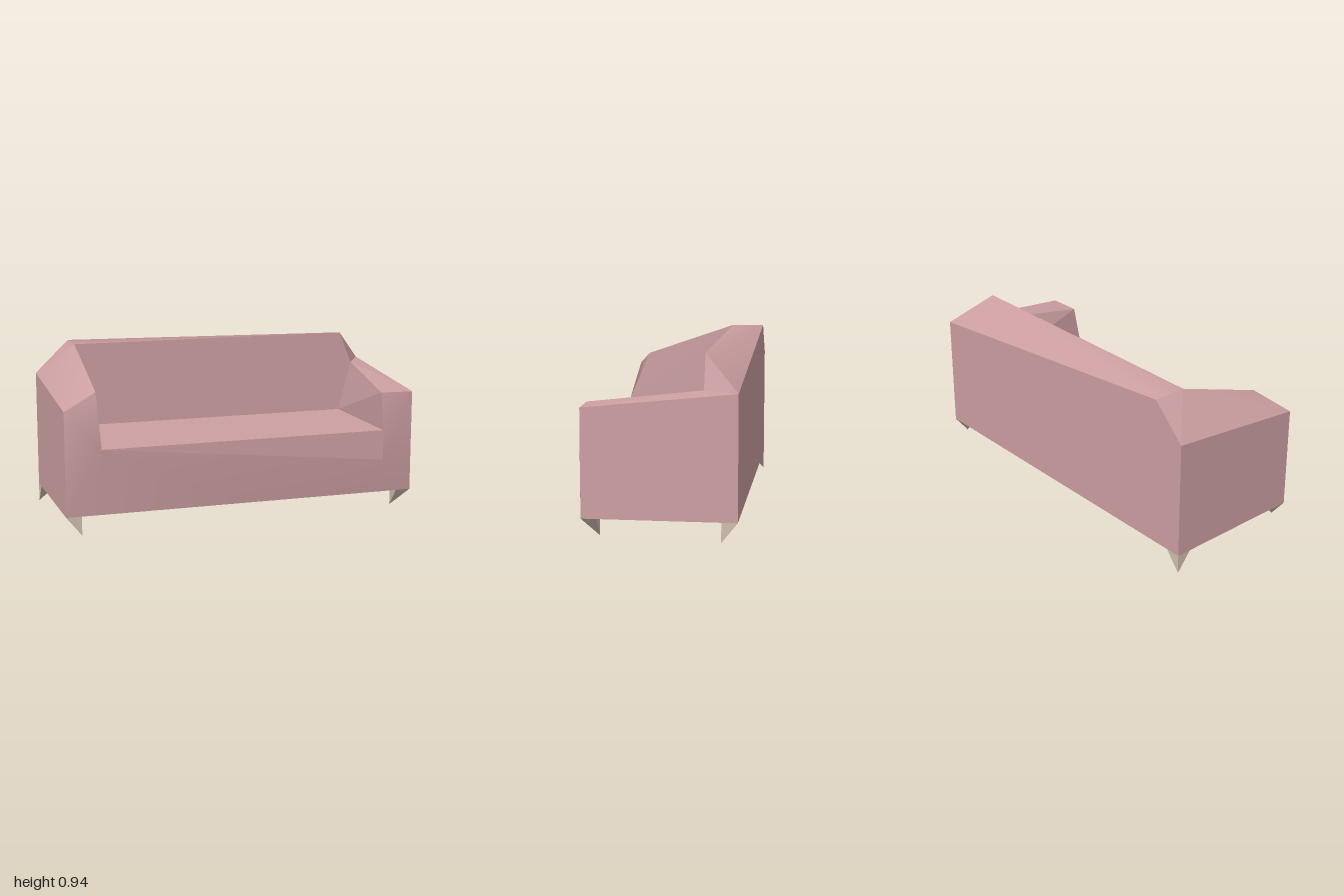
import * as THREE from 'three';

// Corner points of the sofa shell
const P = {
  // outer frame, floor level
  frontL: [1, 0.105, 0.38], frontR: [-1, 0.105, 0.38], frontMid: [0, 0.105, 0.38],
  rearL: [1, 0.105, -0.42], rearR: [-1, 0.105, -0.42],
  // outer arm corners
  armL: [1, 0.675, 0.38], armR: [-1, 0.675, 0.38],
  armRearL: [1, 0.757, -0.42], armRearR: [-1, 0.757, -0.42],
  // inner arm corners
  innerL: [0.81, 0.678, 0.38], innerRearL: [0.885, 0.757, -0.235], innerR: [-0.81, 0.757, 0.295],
  // backrest top
  topL: [0.81, 0.94, -0.235], topR: [-0.81, 0.94, -0.235], topRearR: [-0.81, 0.94, -0.42],
  // seat
  seatL: [0.81, 0.47, 0.42], seatR: [-0.81, 0.47, 0.42], seatLow: [0.81, 0.3, 0.42],
  seatRearL: [0.81, 0.47, -0.235], seatRearR: [-0.81, 0.47, -0.235],
};

// Panel from polygons of named corners; smooth panels share their corners
function panel(name, polygons, material, smooth = false) {
  const names = [], positions = [], index = [];
  const corner = (n) => {
    const found = names.indexOf(n);
    if (smooth && found >= 0) return found;
    names.push(n);
    positions.push(...P[n]);
    return names.length - 1;
  };
  for (const polygon of polygons) {
    const ids = polygon.split(' ').map(corner);
    for (let i = 1; i < ids.length - 1; i++) index.push(ids[0], ids[i], ids[i + 1]);
  }
  const geometry = new THREE.BufferGeometry();
  geometry.setAttribute('position', new THREE.Float32BufferAttribute(positions, 3));
  geometry.setIndex(index);
  geometry.computeVertexNormals();
  const mesh = new THREE.Mesh(geometry, material);
  mesh.name = name;
  return mesh;
}

// Spike leg: square base at a frame corner, tip under one of its corners
function leg(name, sx, z0, z1, tipX, tipZ, material) {
  const geometry = new THREE.ConeGeometry(1, 1, 4, 1).toNonIndexed();
  const pos = geometry.attributes.position;
  const xs = [sx, sx * 0.915];
  const x0 = Math.min(...xs), x1 = Math.max(...xs);
  for (let i = 0; i < pos.count; i++) {
    const x = pos.getX(i), y = pos.getY(i), z = pos.getZ(i);
    if (y > 0) {
      pos.setXYZ(i, tipX, 0, tipZ);
      continue;
    }
    // turn the cone's diamond base into an axis-aligned square; x is mirrored as the cone is inverted
    const u = (1 - (x + z)) / 2, v = (1 + (z - x)) / 2;
    pos.setXYZ(i, x0 + (x1 - x0) * u, 0.105, z0 + (z1 - z0) * v);
  }
  geometry.computeVertexNormals();
  const mesh = new THREE.Mesh(geometry, material);
  mesh.name = name;
  return mesh;
}

export function createModel() {
  const sofa = new THREE.Group();
  sofa.name = 'sofa';
  const fabric = new THREE.MeshStandardMaterial({ color: 0xcc9fa2, side: THREE.DoubleSide });
  fabric.name = 'pink fabric';
  const wood = new THREE.MeshStandardMaterial({ color: 0xcfbfb0, side: THREE.DoubleSide });
  wood.name = 'pale wood';

  sofa.add(
    // outer shell
    panel('rearPanel', ['rearL rearR armRearR topRearR armRearL'], fabric),
    panel('leftSide', ['frontL rearL armRearL armL'], fabric),
    panel('rightSide', ['rearR frontR armR armRearR'], fabric),
    panel('underside', ['frontR rearR rearL frontL'], fabric),
    // front skirt bulging out to the seat edge
    panel('frontSkirt', [
      'armR frontR seatR', 'armR seatR innerR', 'frontR frontMid seatR',
      'frontMid seatLow seatR', 'frontMid frontL seatLow',
      'frontL armL seatLow', 'armL innerL seatLow',
    ], fabric, true),
    // seat
    panel('seat', ['seatRearR seatR seatL seatRearL'], fabric),
    panel('seatFront', ['seatR seatLow seatL'], fabric),
    // backrest
    panel('backrest', ['seatRearR seatRearL topL topR'], fabric),
    panel('backrestTop', ['topRearR topR topL', 'topRearR topL armRearL'], fabric, true),
    panel('backrestCorners', ['armRearR topR topRearR', 'topL innerRearL armRearL'], fabric),
    // arms
    panel('rightArmTop', ['armRearR armR topR', 'armR innerR topR'], fabric, true),
    panel('rightArmInside', ['seatR seatRearR topR innerR'], fabric),
    panel('leftArmTop', ['innerL armL innerRearL', 'innerRearL armL armRearL'], fabric),
    panel('leftArmInside', [
      'seatRearL seatL innerL', 'seatRearL innerL innerRearL',
      'seatRearL innerRearL topL', 'innerL seatLow seatL',
    ], fabric),
    // legs
    leg('frontLeftLeg', 1, 0.297, 0.38, 0.915, 0.297, wood),
    leg('frontRightLeg', -1, 0.297, 0.38, -0.915, 0.38, wood),
    leg('rearLeftLeg', 1, -0.42, -0.337, 1, -0.337, wood),
    leg('rearRightLeg', -1, -0.42, -0.337, -1, -0.42, wood),
  );
  return sofa;
}
